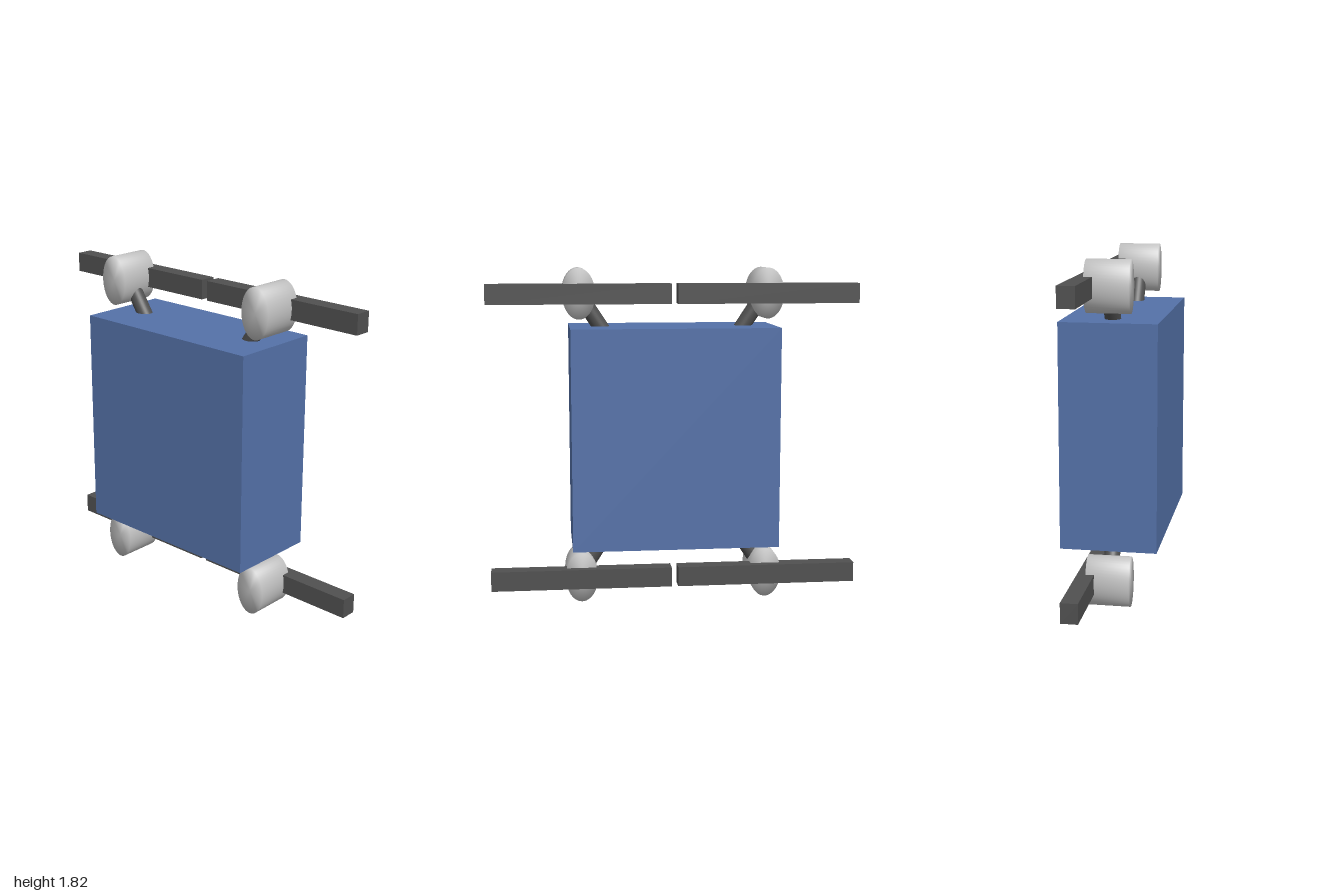
import * as THREE from 'three';
import { mergeVertices } from 'three/addons/utils/BufferGeometryUtils.js';

const paint = (name, color) => {
  const m = new THREE.MeshStandardMaterial({ color });
  m.name = name;
  return m;
};

export function createModel() {
  const blue = paint('bodyBlue', 0x5471a8);
  const dark = paint('darkGrey', 0x505050);
  const silver = paint('lightGrey', 0xc4c4c4);

  const group = new THREE.Group();
  const add = (name, geometry, material, x, y, z) => {
    const mesh = new THREE.Mesh(geometry, material);
    mesh.name = name;
    mesh.position.set(x, y, z);
    group.add(mesh);
    return mesh;
  };

  const midY = 0.91, armX = 0.508, armY = 0.773;

  // Main box
  add('body', new THREE.BoxGeometry(1.116, 1.19, 0.508), blue, 0, midY, 0);

  // Two crossing arms, running corner to corner through the body
  const armGeometry = new THREE.CylinderGeometry(0.042, 0.042, 2 * Math.hypot(armX, armY), 32);
  for (const side of [-1, 1]) {
    add('arm', armGeometry, dark, 0, midY, 0).rotation.z = side * Math.atan2(armX, armY);
  }

  // Oval motor, with shading softened across its rim
  const oval = new THREE.CylinderGeometry(1, 1, 0.228, 48);
  oval.rotateX(Math.PI / 2);
  oval.scale(0.088, 0.136, 1);
  oval.deleteAttribute('normal');
  oval.deleteAttribute('uv');
  const motorGeometry = mergeVertices(oval);
  motorGeometry.computeVertexNormals();

  // Motor and propeller bar at each arm end
  const barGeometry = new THREE.BoxGeometry(0.982, 0.107, 0.09);
  for (const sx of [-1, 1]) {
    for (const sy of [-1, 1]) {
      const y = midY + sy * armY;
      add('motor', motorGeometry, silver, sx * armX, y, 0);
      add('propeller', barGeometry, dark, sx * 0.509, y, -0.114);
    }
  }

  return group;
}
